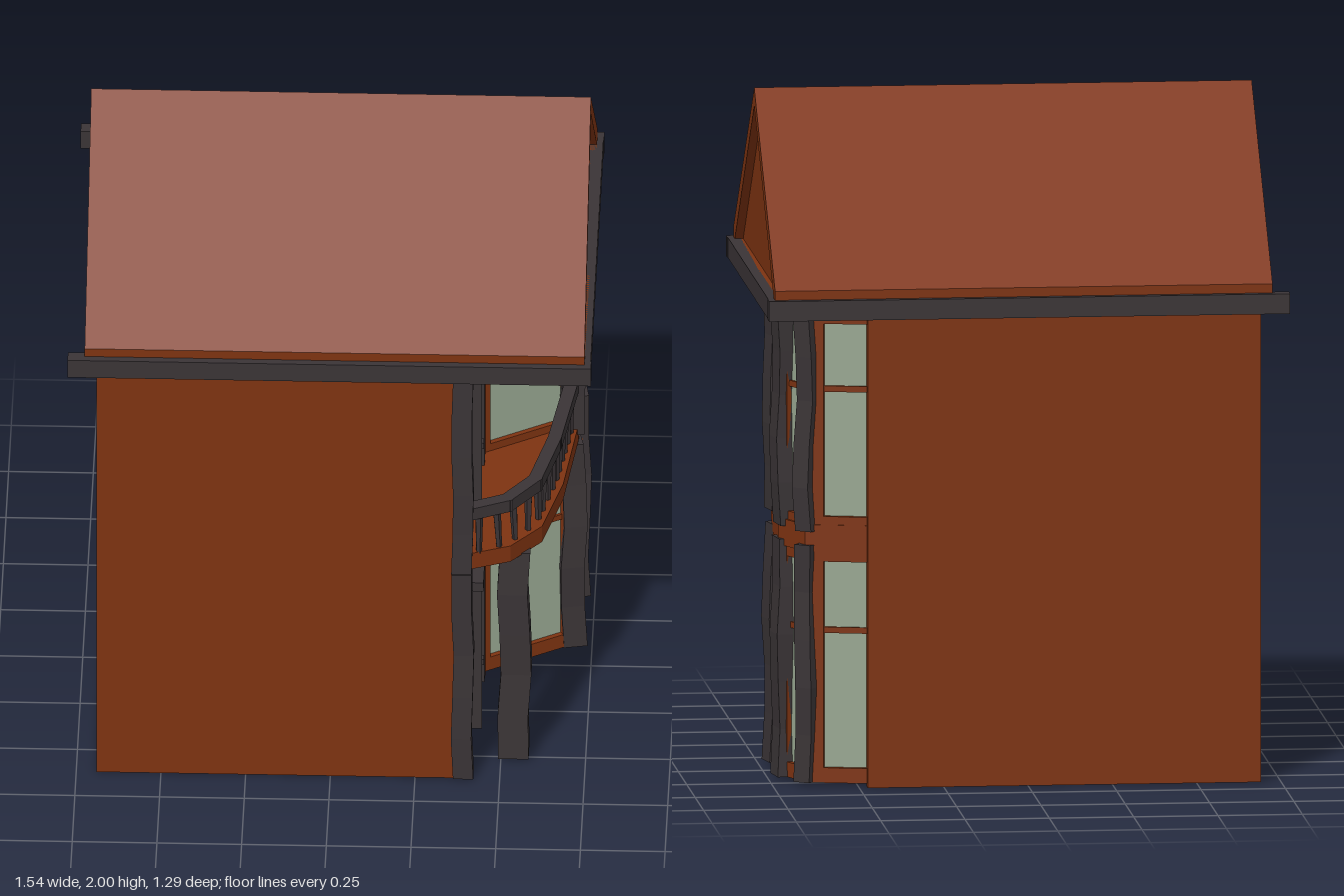
import * as THREE from 'three';

export function createModel() {
  const house = new THREE.Group();
  house.name = 'house';
  const mat = (name, color) => {
    const m = new THREE.MeshStandardMaterial({ color, flatShading: true });
    m.name = name;
    return m;
  };
  const brick = mat('rust brown', 0x7e3311);
  const timber = mat('dark timber', 0x3a3436);
  const glass = mat('pale green glass', 0x98a791);

  const add = (name, geo, material, parent = house) => {
    const m = new THREE.Mesh(geo, material);
    m.name = name;
    parent.add(m);
    return m;
  };
  // box given by its limits on each axis
  const block = (name, material, x0, x1, y0, y1, z0, z1, parent) => {
    const m = add(name, new THREE.BoxGeometry(x1 - x0, y1 - y0, z1 - z0), material, parent);
    m.position.set((x0 + x1) / 2, (y0 + y1) / 2, (z0 + z1) / 2);
    return m;
  };
  // hand-hewn post whose outline wavers with height
  const post = (name, x, z, w, d, y0, y1, seed, turn = 0, waver = 0.006) => {
    const h = y1 - y0;
    const geo = new THREE.BoxGeometry(w, h, d, 1, 5, 1);
    const p = geo.attributes.position;
    for (let i = 0; i < p.count; i++) {
      const y = p.getY(i);
      p.setX(i, p.getX(i) + waver * Math.sin(y * 13 + seed));
      p.setZ(i, p.getZ(i) + waver * Math.cos(y * 11 + seed * 2));
    }
    geo.computeVertexNormals();
    const m = add(name, geo, timber);
    m.position.set(x, (y0 + y1) / 2, z);
    m.rotation.y = turn;
  };
  // bar between two plan points, as a group whose x axis runs along it
  const span = (name, a, b) => {
    const g = new THREE.Group();
    const dx = b[0] - a[0], dz = b[1] - a[1];
    g.name = name;
    g.position.set((a[0] + b[0]) / 2, 0, (a[1] + b[1]) / 2);
    g.rotation.y = Math.atan2(-dz, dx);
    house.add(g);
    return [g, Math.hypot(dx, dz) / 2];
  };
  // horizontal slab from a plan outline of [x, z]
  const slab = (name, outline, y0, y1) => {
    const shape = new THREE.Shape(outline.map(([x, z]) => new THREE.Vector2(x, -z)));
    const geo = new THREE.ExtrudeGeometry(shape, { depth: y1 - y0, bevelEnabled: false });
    geo.rotateX(-Math.PI / 2);
    geo.translate(0, y0, 0);
    add(name, geo, brick);
  };

  // main body
  block('walls', brick, -0.69, 0.41, 0, 1.42, -0.62, 0.62);

  // roof: solid gable, with a raised verge overhanging the front
  const gable = (outline, hole, x0, x1, name) => {
    const pts = (l) => l.map(([z, y]) => new THREE.Vector2(-z, y));
    const s = new THREE.Shape(pts(outline));
    if (hole) s.holes.push(new THREE.Path(pts(hole)));
    const geo = new THREE.ExtrudeGeometry(s, { depth: x1 - x0, bevelEnabled: false });
    geo.rotateY(Math.PI / 2);
    geo.translate(x0, 0, 0);
    add(name, geo, brick);
  };
  const roofOutline = [[-0.62, 1.41], [0.62, 1.41], [0.62, 1.487], [0, 2], [-0.62, 1.487]];
  gable(roofOutline, null, -0.725, 0.725, 'roof');
  gable(roofOutline, [[-0.575, 1.46], [0, 1.945], [0.575, 1.46]], 0.725, 0.75, 'roofVerge');

  // eaves beams
  for (const s of [-1, 1]) {
    block('eavesBeam', timber, -0.775, 0.77, 1.4, 1.46,
      Math.min(s * 0.6, s * 0.643), Math.max(s * 0.6, s * 0.643));
  }
  block('frontBeam', timber, 0.71, 0.768, 1.4, 1.46, -0.64, 0.64);

  // bay window: walls follow this plan on both floors
  const bay = [[0.41, 0.05], [0.69, -0.12], [0.695, -0.4], [0.635, -0.54], [0.41, -0.595]];
  const floors = [
    { y0: 0.01, y1: 0.71, g0: 0.055, g1: 0.67, bar: 0.465 },
    { y0: 0.77, y1: 1.41, g0: 0.805, g1: 1.38, bar: 1.185 },
  ];
  for (let i = 0; i < bay.length - 1; i++) {
    const [g, h] = span('bayPanel', bay[i], bay[i + 1]);
    const f = 0.02;
    for (const { y0, y1, g0, g1, bar } of floors) {
      block('windowSill', brick, -h, h, y0, g0, -f, f, g);
      block('windowHead', brick, -h, h, g1, y1, -f, f, g);
      block('windowJamb', brick, -h, -h + 0.04, g0, g1, -f, f, g);
      block('windowJamb', brick, h - 0.04, h, g0, g1, -f, f, g);
      block('glazingBar', brick, -h, h, bar - 0.009, bar + 0.009, -0.012, 0.012, g);
      block('pane', glass, -h + 0.04, h - 0.04, g0, g1, -0.004, 0.004, g);
    }
  }
  slab('bayFloor', [[0.41, 0.07], [0.71, -0.11], [0.72, -0.41], [0.655, -0.56], [0.41, -0.615]], 0.7, 0.78);
  block('bayPilaster', brick, 0.41, 0.44, 0, 1.41, 0.035, 0.065);
  block('bayPilaster', brick, 0.41, 0.475, 0, 1.41, -0.62, -0.575);

  // bay posts on both floors
  [[0.69, -0.12, 0.07, 0.08, 0.2], [0.695, -0.4, 0.07, 0.09, 0.15], [0.645, -0.54, 0.06, 0.055, 0.9]]
    .forEach(([x, z, w, d, turn], i) => {
      post('bayPost', x, z, w, d, 0.01, 0.72, i, turn);
      post('bayPost', x, z, w, d, 0.76, 1.41, i + 2, turn);
    });

  // corner post and balcony support
  post('cornerPost', 0.39, 0.597, 0.06, 0.062, 0, 0.72, 1, 0, 0.004);
  post('cornerPost', 0.39, 0.597, 0.06, 0.062, 0.72, 1.41, 3, 0, 0.003);
  post('balconySupport', 0.54, 0.48, 0.09, 0.085, 0.01, 0.73, 2);

  // balcony floor, handrail and balusters
  const edge = [[0.41, 0.6], [0.52, 0.55], [0.6, 0.44], [0.65, 0.22], [0.69, -0.08]];
  slab('balconyFloor', [[0.4, 0.61], [0.53, 0.56], [0.62, 0.45], [0.675, 0.22], [0.71, -0.1], [0.4, 0.04]], 0.725, 0.78);
  for (let i = 0; i < edge.length - 1; i++) {
    const [g, h] = span('railing', edge[i], edge[i + 1]);
    block('handrail', timber, -h - 0.01, h + 0.01, 0.905, 0.945, -0.02, 0.02, g);
    const n = Math.max(2, Math.round(h * 2 / 0.055));
    for (let k = 0; k < n; k++) {
      const b = add('baluster', new THREE.CylinderGeometry(0.013, 0.009, 0.14, 5), timber, g);
      b.position.set(-h + (k + 0.5) * 2 * h / n, 0.845, 0);
      b.rotation.z = 0.08 * Math.sin(k * 2.3 + i);
    }
  }

  // doors with frames and handles
  for (const [y0, y1] of [[0.02, 0.535], [0.78, 1.275]]) {
    const door = new THREE.Group();
    door.name = 'door';
    house.add(door);
    block('doorLeaf', timber, 0.4, 0.42, y0, y1 - 0.02, 0.13, 0.36, door);
    block('doorFrame', timber, 0.4, 0.44, y0, y1, 0.1, 0.127, door);
    block('doorFrame', timber, 0.4, 0.44, y0, y1, 0.353, 0.38, door);
    block('doorFrame', timber, 0.4, 0.445, y1 - 0.03, y1, 0.1, 0.385, door);
    block('doorHandle', timber, 0.42, 0.445, y0 + 0.2, y0 + 0.22, 0.32, 0.345, door);
  }
  return house;
}
